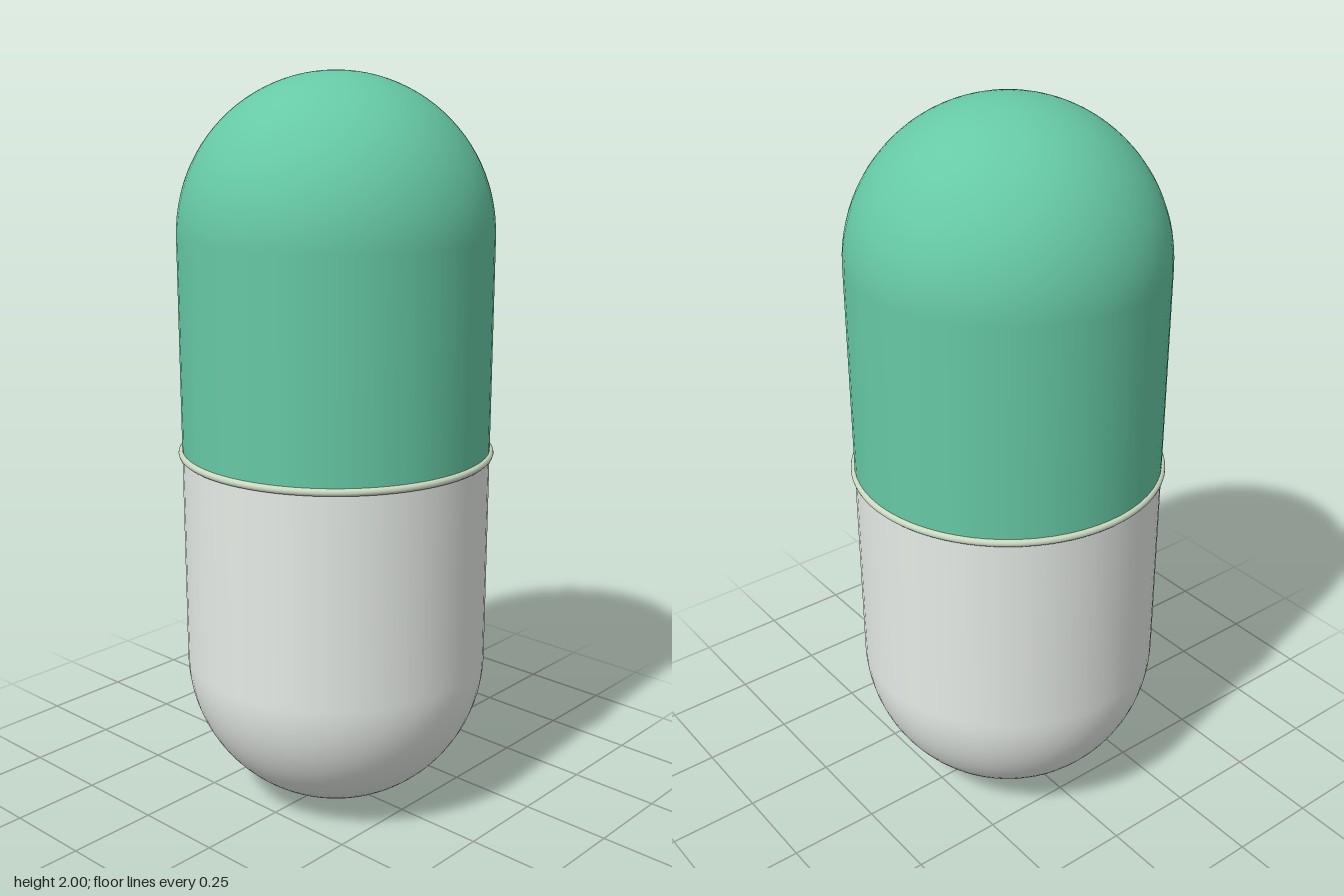
import * as THREE from 'three';

const RADIUS = 0.417;
const MIDDLE = 1;
const SEGMENTS = 64;

// Half capsule: straight wall from the seam, closed by a hemisphere.
function halfShell(name, color, top) {
  const points = [];
  const steps = 24;
  for (let i = 0; i <= steps; i++) {
    const a = (i / steps) * Math.PI / 2;
    const x = i === steps ? 0 : RADIUS * Math.cos(a);
    points.push(new THREE.Vector2(x, MIDDLE - RADIUS + RADIUS * Math.sin(a)));
  }
  points.unshift(new THREE.Vector2(RADIUS, 0));
  const geometry = new THREE.LatheGeometry(points, SEGMENTS);
  if (!top) geometry.rotateX(Math.PI);
  const mesh = new THREE.Mesh(geometry, new THREE.MeshStandardMaterial({ color }));
  mesh.name = name;
  mesh.position.y = MIDDLE;
  return mesh;
}

export function createModel() {
  const group = new THREE.Group();
  group.name = 'capsule';

  group.add(halfShell('upperShell', 0x66c9a5, true));
  group.add(halfShell('lowerShell', 0xe6ebe6, false));

  // Thin raised bead around the seam
  const seam = new THREE.Mesh(
    new THREE.TorusGeometry(RADIUS, 0.01, 12, 96).rotateX(Math.PI / 2),
    new THREE.MeshStandardMaterial({ color: 0xccd9c0 })
  );
  seam.name = 'seamRing';
  seam.position.y = MIDDLE + 0.003;
  group.add(seam);

  return group;
}
